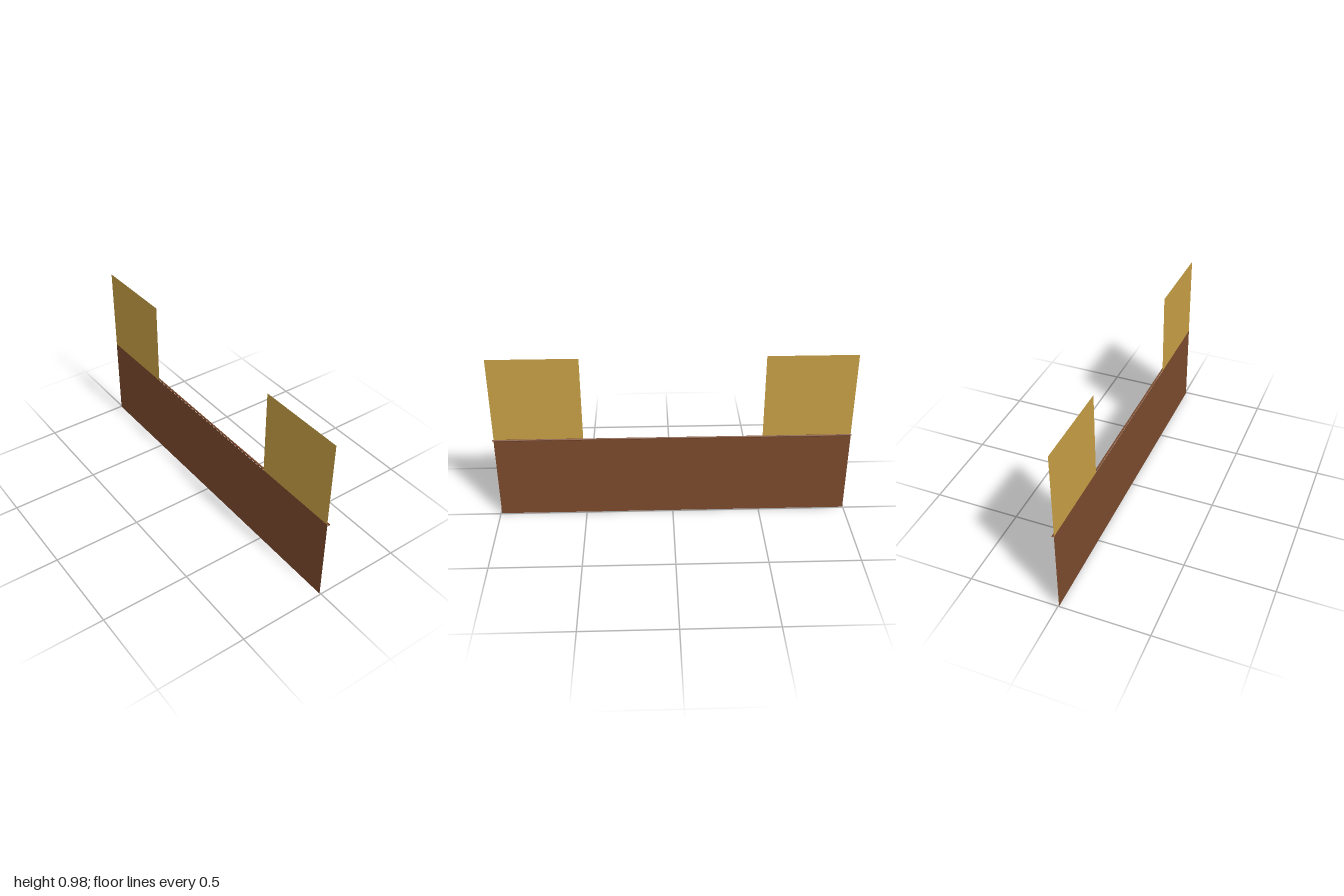
import * as THREE from 'three';

export function createModel() {
  const model = new THREE.Group();
  const brown = new THREE.MeshStandardMaterial({ color: 0x7c4a2d, side: THREE.DoubleSide });
  const gold = new THREE.MeshStandardMaterial({ color: 0xc8a045, side: THREE.DoubleSide });
  brown.name = 'brown';
  gold.name = 'gold';

  // Flat upright sheet with its lower edge at the given height
  function addSheet(name, material, width, height, x, bottom) {
    const sheet = new THREE.Mesh(new THREE.PlaneGeometry(width, height), material);
    sheet.name = name;
    sheet.position.set(x, bottom + height / 2, 0.005);
    model.add(sheet);
  }

  // Long lower panel and the two raised end panels
  addSheet('lowerPanel', brown, 1.992, 0.49, -0.002, 0);
  for (const [side, x] of [['left', 0.745], ['right', -0.749]]) {
    addSheet(side + 'UpperPanel', gold, 0.495, 0.49, x, 0.49);
  }

  // Slim open-ended rail behind the seam
  const rail = new THREE.Mesh(new THREE.CylinderGeometry(0.005, 0.005, 2, 8, 1, true), brown);
  rail.name = 'seamRail';
  rail.rotation.z = Math.PI / 2;
  rail.position.set(0, 0.492, -0.001);
  model.add(rail);

  return model;
}
